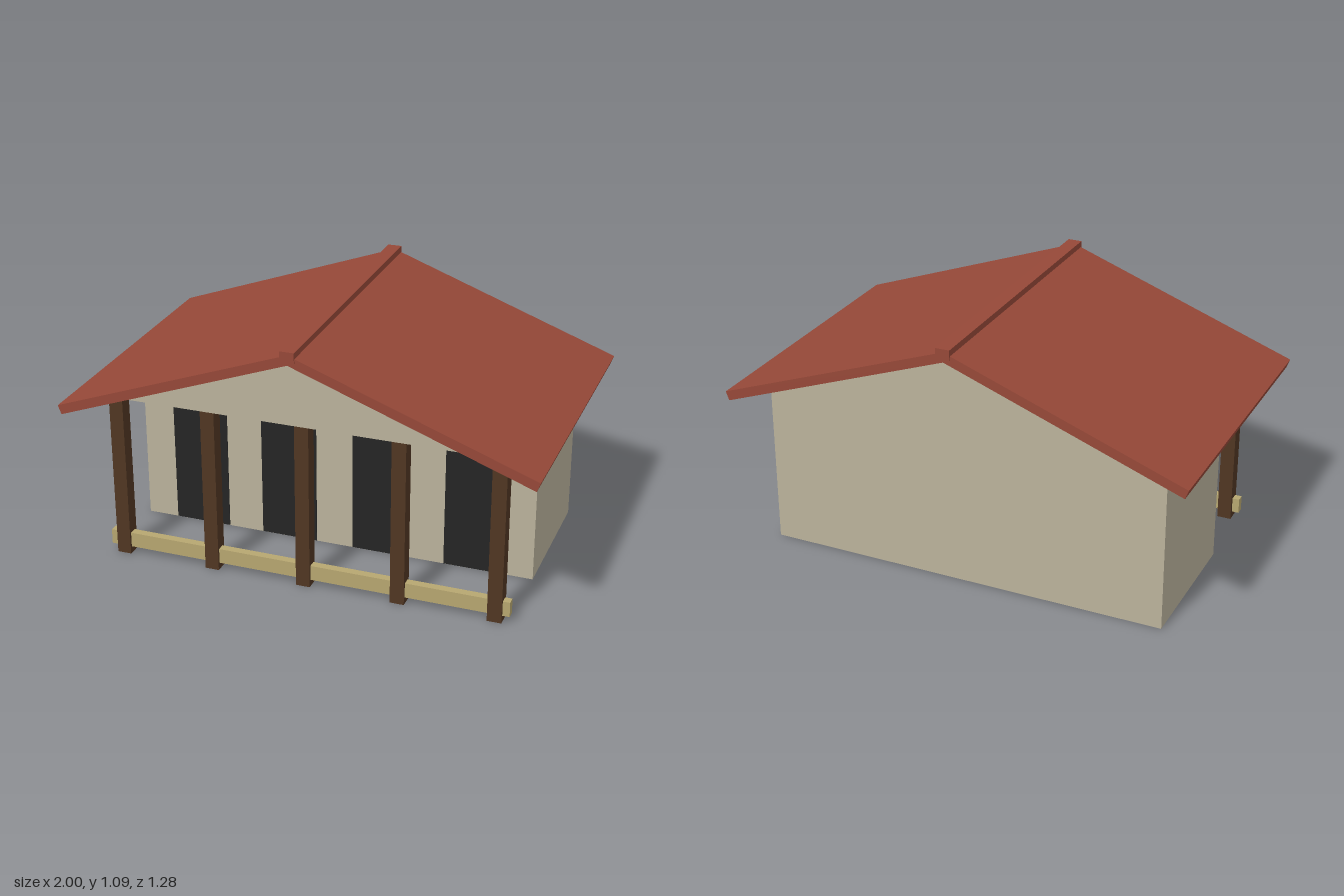
import * as THREE from 'three';

const material = (name, color) => {
  const m = new THREE.MeshStandardMaterial({ color });
  m.name = name;
  return m;
};

export function createModel() {
  const house = new THREE.Group();
  house.name = 'house';

  const plaster = material('plaster', 0xbab29b);
  const tile = material('roofTile', 0x964838);
  const timber = material('darkTimber', 0x503622);
  const paleWood = material('paleWood', 0xb6a670);
  const dark = material('darkOpening', 0x242424);

  const add = (name, geometry, mat) => {
    const mesh = new THREE.Mesh(geometry, mat);
    mesh.name = name;
    house.add(mesh);
    return mesh;
  };

  // Box given by its limits on each axis
  const box = (name, mat, [x0, x1], [y0, y1], [z0, z1]) =>
    add(name, new THREE.BoxGeometry(x1 - x0, y1 - y0, z1 - z0), mat)
      .position.set((x0 + x1) / 2, (y0 + y1) / 2, (z0 + z1) / 2);

  // Outline in x and y, extruded between two z values
  const prism = (name, mat, points, z0, z1) => {
    const shape = new THREE.Shape(points.map(([x, y]) => new THREE.Vector2(x, y)));
    const geometry = new THREE.ExtrudeGeometry(shape, { depth: z1 - z0, bevelEnabled: false });
    geometry.translate(0, 0, z0);
    return add(name, geometry, mat);
  };

  // Main room, with an open porch in front
  box('walls', plaster, [-0.87, 0.87], [0, 0.75], [-0.5, 0.125]);

  // Door openings along the front wall
  for (const x of [-0.61, -0.205, 0.205, 0.61]) {
    box('doorway', dark, [x - 0.124, x + 0.124], [0.002, 0.56], [0.122, 0.128]);
  }

  // Porch posts and the low rail through them
  for (let i = -2; i <= 2; i++) {
    const x = i * 0.405;
    box('porchPost', timber, [x - 0.03, x + 0.03], [0, 0.75], [0.44, 0.5]);
  }
  box('porchRail', paleWood, [-0.87, 0.87], [0.03, 0.095], [0.455, 0.49]);

  // Triangular gable panels beyond the walls and posts
  const gable = [[-0.79, 0.75], [0.79, 0.75], [0, 1.037]];
  prism('frontGable', plaster, gable, 0.53, 0.56);
  prism('backGable', plaster, gable, -0.56, -0.53);

  // Two sloping roof slabs, mirrored about the ridge
  for (const s of [-1, 1]) {
    prism(s < 0 ? 'rightRoofSlope' : 'leftRoofSlope', tile,
      [[0, 1.037], [s * 0.986, 0.677], [s, 0.715], [0, 1.079]], -0.635, 0.635);
  }
  box('ridgeCap', tile, [-0.03, 0.03], [1.05, 1.094], [-0.64, 0.64]);

  return house;
}
